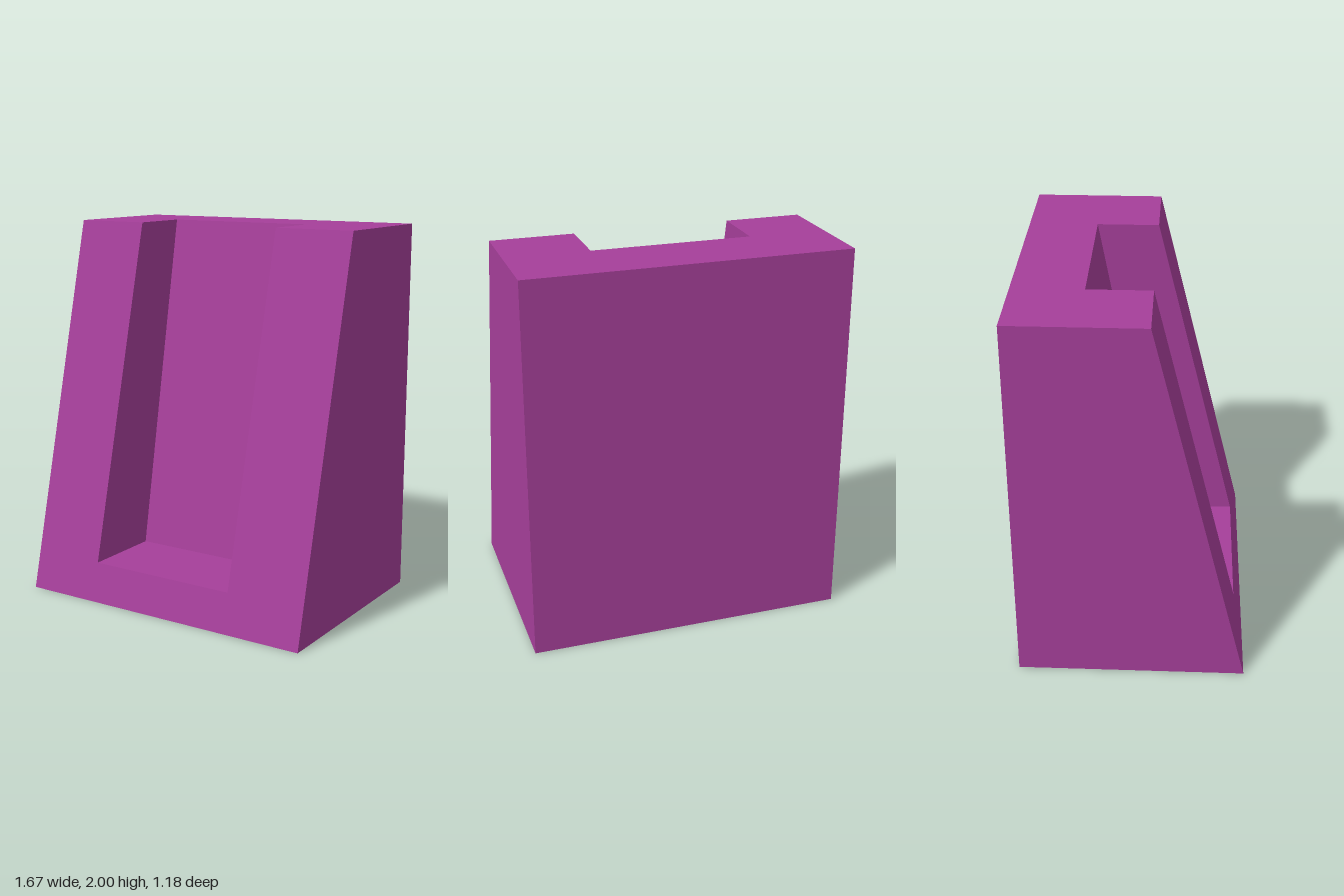
import * as THREE from 'three';

export function createModel() {
  const group = new THREE.Group();
  group.name = 'slottedWedge';
  const purple = new THREE.MeshStandardMaterial({ color: 0xa63f9a });
  purple.name = 'purple';

  const back = -0.59, bottomFront = 0.59, topFront = 0.095, height = 2;
  const slotLeft = 0.4, slotRight = -0.43, slotFloor = 0.205;
  const frontAt = (y) => bottomFront + (topFront - bottomFront) * y / height;

  // Extrude a side profile of [z, y] points across x from x0 to x1
  function slab(name, profile, x0, x1) {
    const shape = new THREE.Shape(profile.map(([z, y]) => new THREE.Vector2(z, y)));
    const geometry = new THREE.ExtrudeGeometry(shape, { depth: x1 - x0, bevelEnabled: false });
    geometry.rotateY(-Math.PI / 2).translate(x1, 0, 0);
    const mesh = new THREE.Mesh(geometry, purple);
    mesh.name = name;
    group.add(mesh);
  }

  // Full-depth wedge walls either side of the slot
  const wall = [[back, 0], [bottomFront, 0], [topFront, height], [back, height]];
  slab('rightWall', wall, -0.835, slotRight);
  slab('leftWall', wall, slotLeft, 0.835);

  // Middle section: low front sill, flat slot floor and leaning slot back
  slab('slotSection', [
    [back, 0], [bottomFront, 0], [frontAt(slotFloor), slotFloor],
    [0.105, slotFloor], [-0.23, height], [back, height],
  ], slotRight, slotLeft);

  return group;
}
